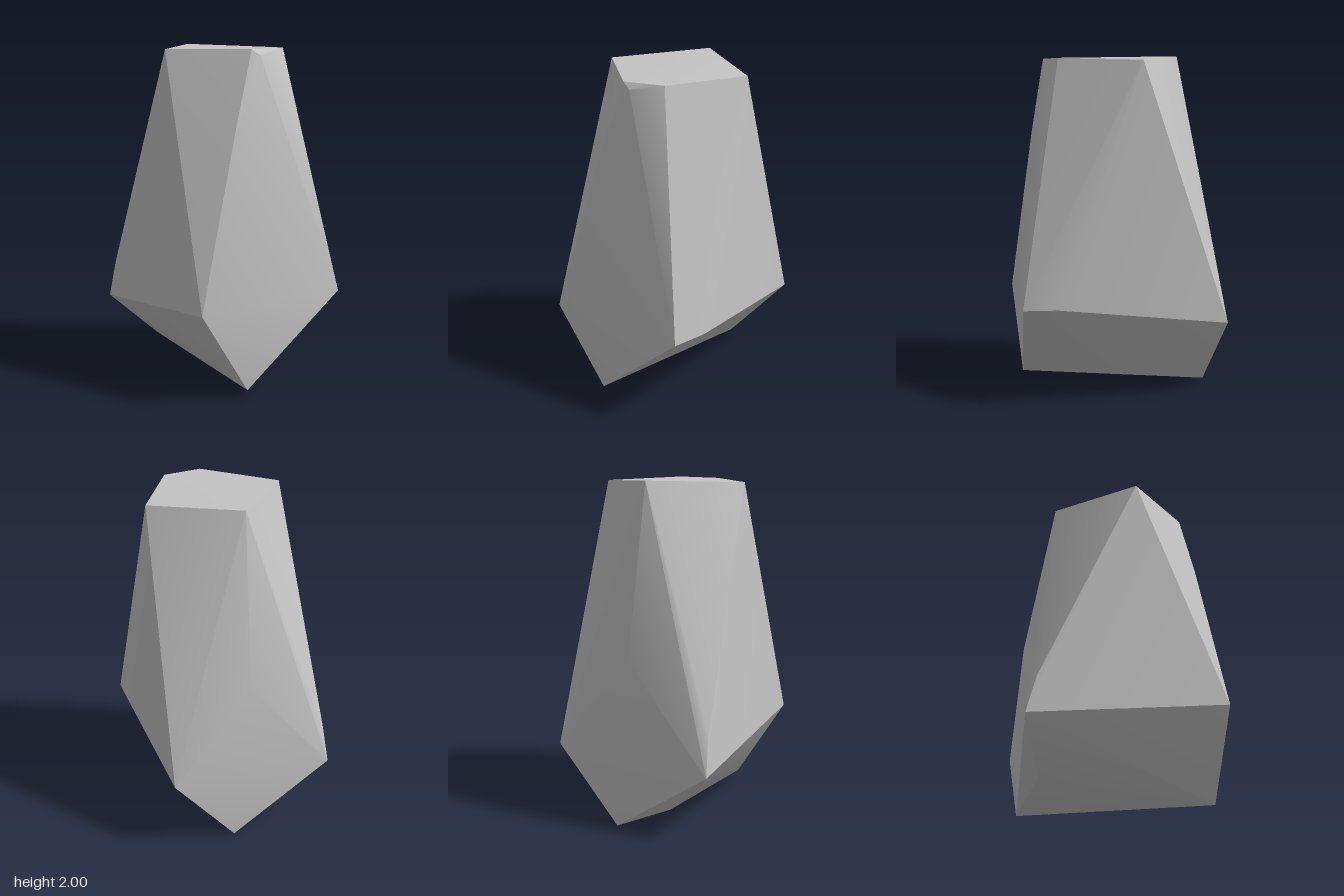
import * as THREE from 'three';
import { ConvexGeometry } from 'three/addons/geometries/ConvexGeometry.js';
import { toCreasedNormals } from 'three/addons/utils/BufferGeometryUtils.js';

export function createModel() {
  const model = new THREE.Group();
  model.name = 'rock';

  const stoneGrey = new THREE.MeshStandardMaterial({ color: 0xc4c4c4 });
  stoneGrey.name = 'stone grey';

  // Corners of the faceted boulder, from the top down
  const top = [
    [-0.02, 2.0, -0.41], [0.44, 1.98, -0.09], [0.19, 1.99, 0.35],
    [-0.05, 1.985, 0.4], [-0.41, 1.982, 0.045],
  ];
  const frontRidge = [[0.0, 1.95, 0.415], [-0.19, 1.53, 0.458]];
  const back = [[0.0, 1.0, -0.575], [-0.49, 0.62, -0.53]];
  const shoulder = [
    [-0.46, 0.54, 0.56], [0.433, 0.58, 0.6], [0.505, 0.592, 0.41],
    [0.47, 0.455, -0.6], [-0.508, 0.4, -0.585],
  ];
  const keel = [[-0.15, 0.05, 0.535], [-0.22, 0.13, -0.48], [0.09, 0, -0.57]];

  // Hull over the corners, with soft shading across the shallow facets
  const points = [...top, ...frontRidge, ...back, ...shoulder, ...keel]
    .map((p) => new THREE.Vector3(...p));
  const geometry = toCreasedNormals(new ConvexGeometry(points), THREE.MathUtils.degToRad(30));

  const boulder = new THREE.Mesh(geometry, stoneGrey);
  boulder.name = 'boulder';
  model.add(boulder);
  return model;
}
